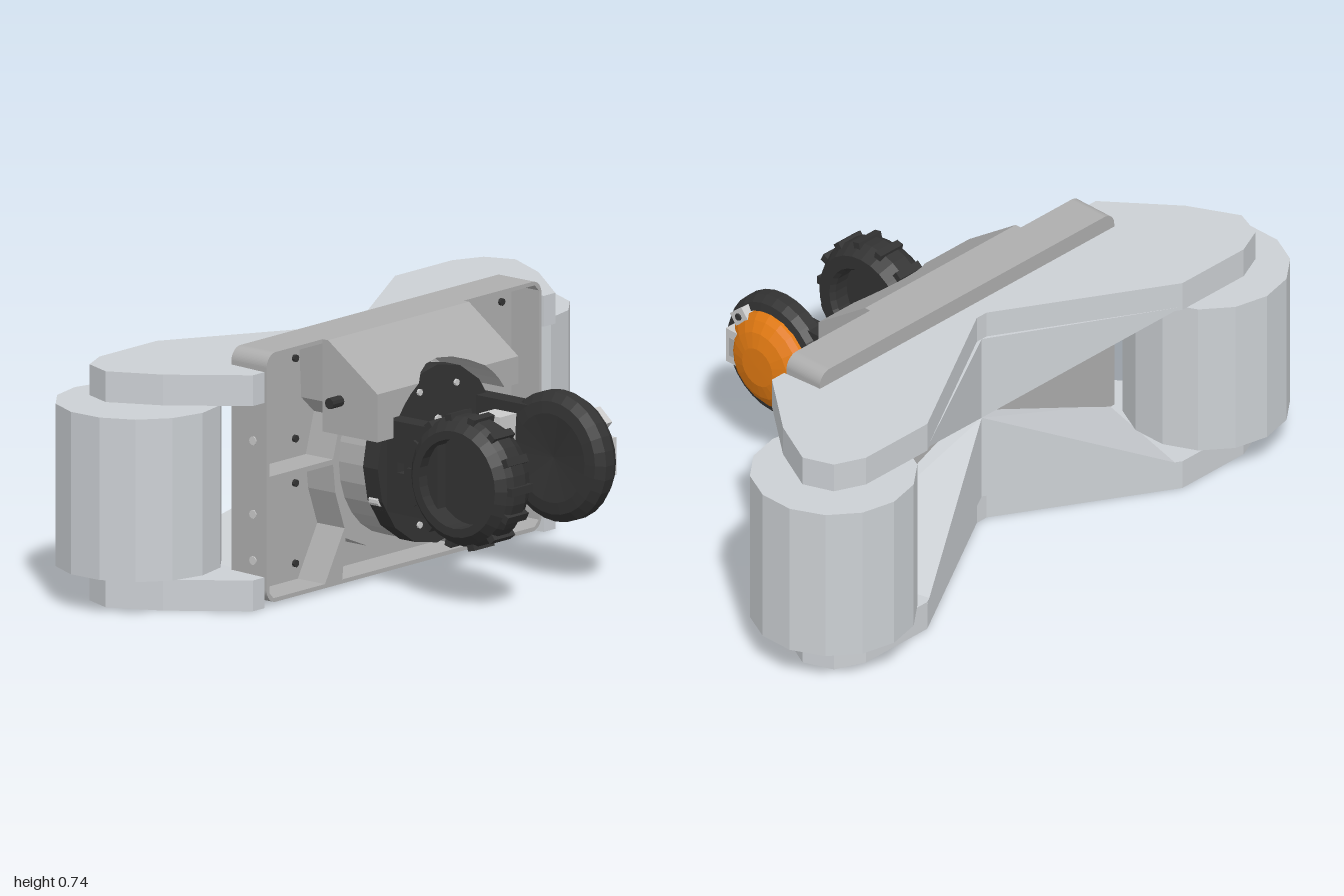
import * as THREE from 'three';

const mat = (color) => new THREE.MeshStandardMaterial({ color, flatShading: true, side: THREE.DoubleSide });

export function createModel() {
  const model = new THREE.Group();
  const pale = mat(0xccd0d4), grey = mat(0xaeaeae), dark = mat(0x333333), orange = mat(0xe27a12), light = mat(0xcccccc);
  const CX = -0.03, CY = 0.37; // turret axis

  const add = (name, geo, material, x = 0, y = 0, z = 0) => {
    const m = new THREE.Mesh(geo, material);
    m.name = name;
    m.position.set(x, y, z);
    model.add(m);
    return m;
  };
  const box = (name, material, x0, x1, y0, y1, z0, z1) =>
    add(name, new THREE.BoxGeometry(x1 - x0, y1 - y0, z1 - z0), material, (x0 + x1) / 2, (y0 + y1) / 2, (z0 + z1) / 2);
  const poly = (pts) => new THREE.Shape(pts.map((p) => new THREE.Vector2(p[0], p[1])));
  const extrude = (shape, depth) => new THREE.ExtrudeGeometry(shape, { depth, bevelEnabled: false, curveSegments: 8 });
  const cylX = (r, h, n) => new THREE.CylinderGeometry(r, r, h, n).rotateZ(Math.PI / 2);
  const cylZ = (r, h, n) => new THREE.CylinderGeometry(r, r, h, n).rotateX(Math.PI / 2);
  const latheX = (pts, n) => new THREE.LatheGeometry(pts.map((p) => new THREE.Vector2(p[0], p[1])), n).rotateZ(-Math.PI / 2);

  // Upper and lower V-shaped arm plates, notched around the front frame
  const half = [[0.6, 0.14], [0.61, 0.02], [0.66, 0.02], [0.82, 0.22], [0.895, 0.37], [0.86, 0.46], [0.77, 0.5], [0.52, 0.5], [0.02, 0.21]];
  const outline = [...half, ...half.map(([x, y]) => [-x, y]).reverse()];
  for (const [name, y] of [['lowerArmPlate', 0], ['upperArmPlate', 0.6]])
    add(name, extrude(poly(outline), 0.09).rotateX(-Math.PI / 2), pale, 0, y, 0);

  // Rear webs: slopes rising from each plate to a point at mid height
  const A = [0, 0.345, -0.21], B = [0, 0.08, -0.21], C = [0.52, 0.08, -0.5], F = [0.61, 0.08, -0.14], G = [0, 0.345, -0.14];
  const tris = [A, B, C, A, C, F, A, F, G, B, G, F, B, F, C];
  for (const sx of [1, -1]) for (const sy of [1, -1]) {
    const order = tris.slice();
    if (sx * sy > 0) for (let i = 0; i < order.length; i += 3) [order[i + 1], order[i + 2]] = [order[i + 2], order[i + 1]];
    const pos = order.flatMap(([x, y, z]) => [sx * x, sy > 0 ? y : 0.69 - y, z]);
    const g = new THREE.BufferGeometry();
    g.setAttribute('position', new THREE.Float32BufferAttribute(pos, 3));
    g.computeVertexNormals();
    add('rearWeb', g, pale);
  }

  // Drums with axles and plate bolts
  for (const s of [1, -1]) {
    add('drum', new THREE.CylinderGeometry(0.24, 0.24, 0.475, 14), pale, s * 0.76, 0.345, -0.362);
    add('axle', new THREE.CylinderGeometry(0.035, 0.035, 0.55, 12), light, s * 0.755, 0.345, -0.37);
    for (let i = 0; i < 6; i++) {
      const a = (i * Math.PI) / 3;
      add('plateBolt', new THREE.CylinderGeometry(0.007, 0.007, 0.688, 6), grey,
        s * 0.765 + 0.035 * Math.cos(a), 0.345, -0.37 + 0.035 * Math.sin(a));
    }
  }

  // Front frame: rounded tray with five pockets
  const frame = new THREE.Shape();
  const r = 0.04, x1 = 0.6, y0 = 0.01, y1 = 0.74;
  frame.absarc(x1 - r, y0 + r, r, -Math.PI / 2, 0);
  frame.absarc(x1 - r, y1 - r, r, 0, Math.PI / 2);
  frame.absarc(-x1 + r, y1 - r, r, Math.PI / 2, Math.PI);
  frame.absarc(-x1 + r, y0 + r, r, Math.PI, Math.PI * 1.5);
  const floorShape = frame.clone();
  const upper = [[0.25, 0.38], [0.588, 0.38], [0.588, 0.71], [0.57, 0.728], [0.28, 0.728], [0.27, 0.55], [0.215, 0.5]];
  const lower = [[0.25, 0.365], [0.24, 0.28], [0.2, 0.17], [0.285, 0.022], [0.57, 0.022], [0.588, 0.04], [0.588, 0.365]];
  const mirror = ([x, y]) => [x > 0.5 ? -x : -0.06 - x, y];
  const bottom = [[-0.27, 0.022], [0.27, 0.022], [0.195, 0.14], [0.1, 0.1], [CX, 0.085], [-0.16, 0.1], [-0.255, 0.14]];
  for (const p of [upper, lower, upper.map(mirror), lower.map(mirror), bottom])
    frame.holes.push(new THREE.Path(p.map((q) => new THREE.Vector2(q[0], q[1]))));
  add('frontFrame', extrude(frame, 0.13), grey, 0, 0, -0.15);
  add('frameFloor', extrude(floorShape, 0.03), grey, 0, 0, -0.152);
  for (const s of [1, -1]) {
    for (const y of [0.07, 0.305, 0.435, 0.67]) for (const x of [0.36, 0.54])
      add('floorBolt', cylZ(0.011, 0.012, 8), dark, s * x, y, -0.119);
    for (const y of [0.13, 0.265, 0.48]) add('sideBolt', cylX(0.013, 0.006, 10), light, s * 0.6, y, -0.07);
  }

  // Sloping hood with an arch over the turret
  const R = 0.28;
  const arch = (y) => Math.sqrt(Math.max(0, R * R - (y - CY) ** 2));
  const ys = [0.53, 0.56, 0.585, 0.61];
  const sidePiece = (outer, s) => poly([[outer, 0.53], [outer, 0.61], ...ys.slice().reverse().map((y) => [CX + s * arch(y), y])]);
  for (const [outer, s] of [[0.26, 1], [-0.355, -1]]) add('hoodSide', extrude(sidePiece(outer, s), 0.205), grey, 0, 0, -0.02);
  const ups = [0.61, 0.63, 0.644, 0.65];
  const top = extrude(poly([[-0.355, 0.61], [-0.355, 0.74], [0.26, 0.74], [0.26, 0.61],
    ...ups.map((y) => [CX + arch(y), y]), ...ups.slice(0, 3).reverse().map((y) => [CX - arch(y), y])]), 1);
  const tp = top.attributes.position;
  for (let i = 0; i < tp.count; i++)
    tp.setZ(i, tp.getZ(i) > 0.5 ? 0.185 - ((tp.getY(i) - 0.61) / 0.13) * 0.185 : -0.02);
  top.computeVertexNormals();
  add('hoodTop', top, grey);
  box('hoodCheek', grey, -0.355, -0.285, 0.47, 0.53, -0.02, 0.185);
  add('hoodKnob', cylX(0.016, 0.05, 10), dark, -0.378, 0.57, 0.045);

  // Turret base, dark face plate, hub and bolts
  add('turretBase', cylZ(0.255, 0.1, 28), grey, CX, CY, 0.027);
  const plate = new THREE.Shape().absarc(0, 0, 0.26, 0, Math.PI * 2);
  plate.holes.push(new THREE.Path().absarc(0, 0, 0.072, 0, Math.PI * 2, true));
  add('turretPlate', extrude(plate, 0.055), dark, CX, CY, 0.075);
  add('hub', cylZ(0.072, 0.02, 8), light, CX, CY, 0.085);
  for (let i = 0; i < 14; i++) {
    const inner = i < 6, a = inner ? (i * Math.PI) / 3 + Math.PI / 6 : ((i - 6) * Math.PI) / 4 + Math.PI / 8;
    const d = inner ? 0.1 : 0.21;
    add('turretBolt', cylZ(inner ? 0.014 : 0.01, 0.012, 8), light, CX + d * Math.cos(a), CY + d * Math.sin(a), 0.131);
  }

  // Yoke arms (profile in z and y, extruded along x) with a small slot
  const arm = poly([[0.08, 0.24], [0.32, 0.24], [0.32, 0.51], [0.08, 0.51]]);
  arm.holes.push(new THREE.Path([[0.17, 0.36], [0.195, 0.36], [0.195, 0.39], [0.17, 0.39]].map((p) => new THREE.Vector2(...p))));
  for (const x of [0.14, -0.25]) {
    add('yokeArm', extrude(arm, 0.06).rotateY(-Math.PI / 2), dark, x + 0.06, 0, 0);
    for (const y of [0.27, 0.31, 0.45, 0.49])
      add('yokeBolt', cylZ(0.016, 0.035, 10), light, x > 0 ? 0.21 : -0.26, y, 0.1);
  }
  box('innerBracket', light, 0.07, 0.14, 0.34, 0.48, 0.2, 0.28);
  for (const y of [0.37, 0.45]) add('bracketPin', cylX(0.012, 0.08, 8), dark, 0.1, y, 0.24);

  // Right-hand cup: hollow ring open toward the centre, with tread lugs
  add('cupRing', latheX([[0, -0.215], [0.13, -0.215], [0.13, -0.285], [0.155, -0.285], [0.18, -0.26], [0.19, -0.24],
    [0.19, -0.19], [0.165, -0.145], [0.125, -0.145], [0.115, -0.16], [0.115, -0.205], [0, -0.205]], 28), dark, 0, CY, 0.41);
  for (let i = 0; i < 14; i++) {
    const a = (i / 14) * Math.PI * 2;
    const lug = box('cupLug', dark, -0.255, -0.165, -0.016, 0.016, -0.012, 0.012);
    lug.position.set(-0.215, CY + 0.182 * Math.sin(a), 0.41 + 0.182 * Math.cos(a));
    lug.rotation.x = -a + Math.PI / 2;
  }

  // Left-hand lamp: dark ring, orange faceted dome, clips and window
  add('lampRing', latheX([[0, 0.15], [0.13, 0.135], [0.165, 0.14], [0.19, 0.16], [0.19, 0.195], [0.175, 0.22], [0.15, 0.225], [0.15, 0.2]], 28), dark, 0, CY, 0.41);
  add('lampDome', latheX([[0.15, 0.2], [0.15, 0.235], [0.135, 0.25], [0.105, 0.27], [0.06, 0.283], [0, 0.284]], 20), orange, 0, CY, 0.405);
  box('lampWindow', light, 0.19, 0.262, 0.32, 0.43, 0.47, 0.55);
  box('windowRecess', grey, 0.2, 0.264, 0.345, 0.405, 0.485, 0.535);
  for (const [y, z] of [[0.48, 0.51], [0.275, 0.31]]) {
    const clip = box('lampClip', light, 0.2, 0.25, y - 0.02, y + 0.02, z - 0.03, z + 0.03);
    clip.rotation.x = 0.7;
    add('clipBolt', cylX(0.011, 0.01, 8), dark, 0.25, y, z);
  }
  return model;
}
